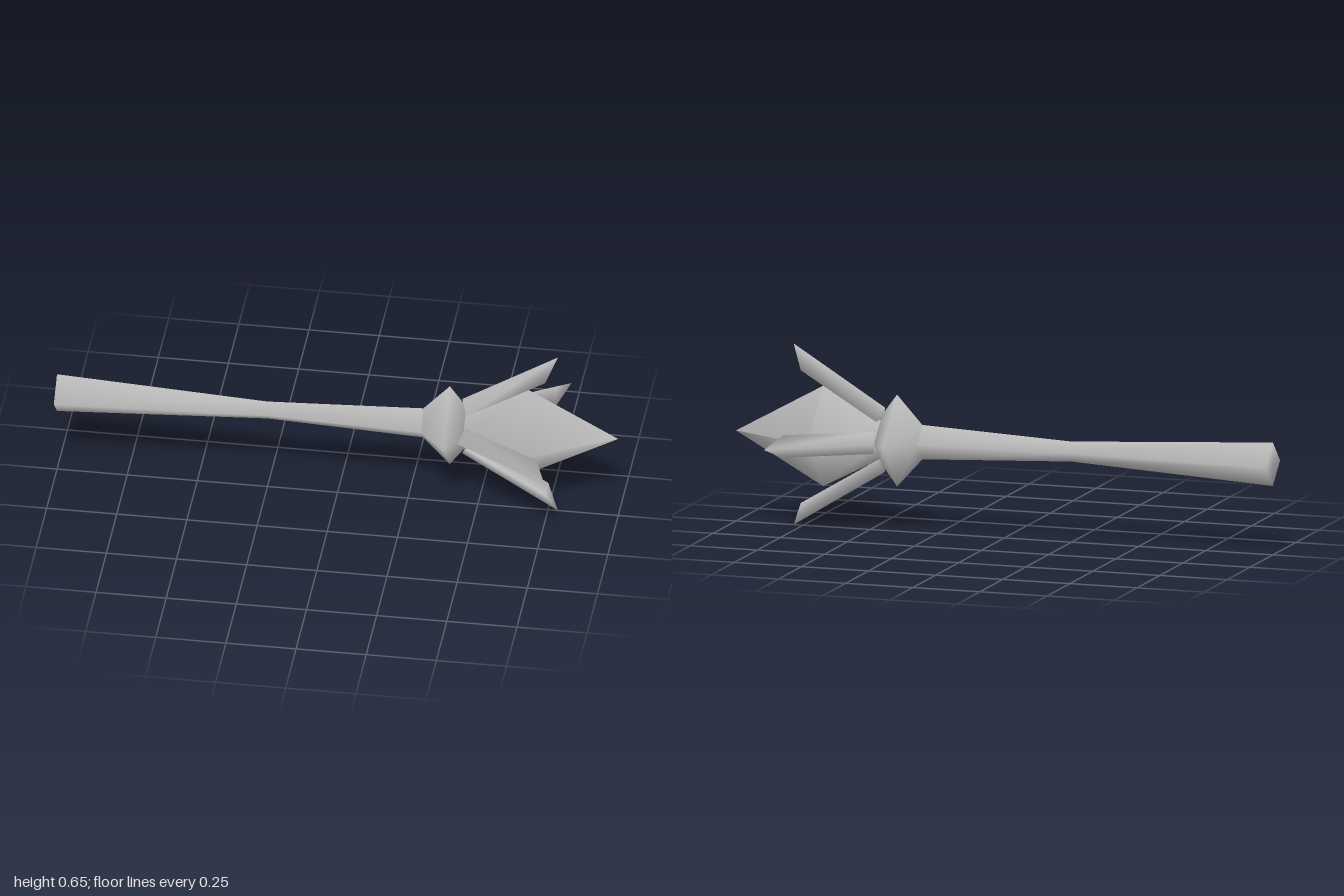
import * as THREE from 'three';

const AXIS_Y = 0.325;

// Four-sided solid along x from [x, radius] pairs, corners at the top, bottom, front and back
function diamond(name, profile, material) {
  const points = profile.map(([x, r]) => new THREE.Vector2(r, x));
  const geometry = new THREE.LatheGeometry(points, 4);
  geometry.rotateZ(-Math.PI / 2);
  const mesh = new THREE.Mesh(geometry, material);
  mesh.name = name;
  return mesh;
}

// Triangular prong: outer ridge, flat inner side, slanted pointed end
function prongGeometry() {
  const section = (ridgeX, ridgeY, sideX, sideY, w) => [
    ridgeX, ridgeY, 0, sideX, sideY, w, sideX, sideY, -w,
  ];
  const geometry = new THREE.BufferGeometry();
  geometry.setAttribute('position', new THREE.Float32BufferAttribute([
    ...section(0.444, 0.115, 0.465, 0.07, 0.04),
    ...section(0.785, 0.325, 0.745, 0.238, 0.04),
  ], 3));
  geometry.setIndex([
    0, 2, 1, 3, 4, 5,
    1, 4, 3, 1, 3, 0,
    2, 0, 3, 2, 3, 5,
    2, 5, 4, 2, 4, 1,
  ]);
  geometry.computeVertexNormals();
  return geometry;
}

export function createModel() {
  const model = new THREE.Group();
  model.name = 'sceptre';
  const grey = new THREE.MeshStandardMaterial({ color: 0xc0c0c0 });
  grey.name = 'grey';

  const body = new THREE.Group();
  body.name = 'body';
  body.position.y = AXIS_Y;
  model.add(body);

  // Handle, narrowest near the middle
  body.add(diamond('handle', [[-1, 0], [-1, 0.078], [-0.25, 0.036], [0.31, 0.062]], grey));

  // Flared collar
  body.add(diamond('collar', [[0.305, 0.061], [0.4, 0.165], [0.455, 0.09], [0.465, 0]], grey));

  // Gem: tapered back and pointed front with a hard edge between them
  body.add(diamond('gemBack', [[0.44, 0.06], [0.675, 0.18]], grey));
  body.add(diamond('gemFront', [[0.675, 0.18], [1, 0]], grey));

  // Four prongs around the gem
  const geometry = prongGeometry();
  for (let i = 0; i < 4; i++) {
    const prong = new THREE.Mesh(geometry, grey);
    prong.name = `prong${i + 1}`;
    prong.rotation.x = i * Math.PI / 2;
    body.add(prong);
  }
  return model;
}
